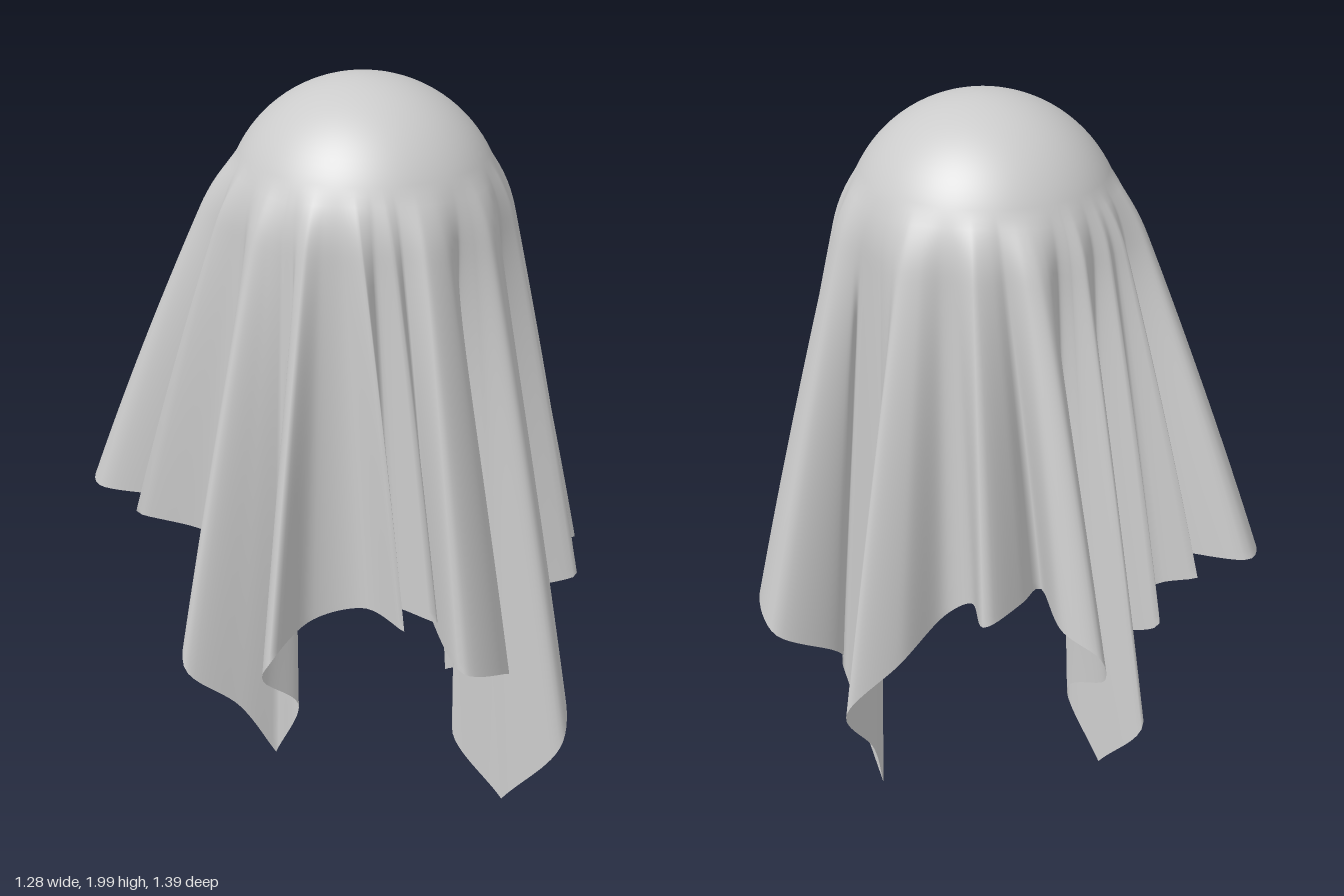
import * as THREE from 'three';

// Hem of the square cloth seen from above, [x, z] at each fold; every edge starts at a cloth corner.
// y is the corner's height, rise is how far the hem lifts between corners.
const leftEdge = {
  angle: -3, y: 0.03, rise: 0.58,
  folds: [[.40, -.02], [.31, .27], [.42, .15], [.60, .21], [.52, .36], [.36, .28],
    [.43, .43], [.28, .33], [.35, .50], [.19, .36], [.18, .55], [.05, .69]],
};
const frontEdge = {
  angle: 93, y: 0.01, rise: 0.56,
  folds: [[-.03, .54], [-.07, .39], [0, .46], [-.09, .60], [-.28, .59], [-.17, .39], [-.23, .46],
    [-.26, .32], [-.35, .45], [-.31, .27], [-.41, .17], [-.57, .17], [-.54, .11], [-.41, .12]],
};
const rightEdge = {
  angle: 173, y: 0.15, rise: 0.58,
  folds: [[-.43, .05], [-.52, 0], [-.64, -.09], [-.55, -.14], [-.38, -.15], [-.36, -.25], [-.45, -.46], [-.32, -.36],
    [-.44, -.62], [-.35, -.70], [-.20, -.46], [-.23, -.63], [-.15, -.53], [-.11, -.60], [-.06, -.43], [.02, -.68]],
};
const backEdge = {
  angle: 277, y: 0.23, rise: 0.62,
  folds: [[.07, -.56], [.10, -.46], [.15, -.66], [.20, -.69], [.25, -.60], [.17, -.42], [.26, -.45],
    [.40, -.46], [.31, -.30], [.34, -.23], [.50, -.23], [.64, -.17], [.52, -.13]],
};
const edges = [leftEdge, frontEdge, rightEdge, backEdge];

const RADIUS = 0.37, CENTRE_Y = 1.63, FOLD_Y = 1.78; // hidden ball and the height where folds begin
const DOME_ROWS = 18, DRAPE_ROWS = 46, EDGE_COLS = 130;
const { lerp, degToRad } = THREE.MathUtils;

// Hem points with the angle at which each one's thread leaves the dome
function hemColumns() {
  const columns = [];
  edges.forEach((edge, e) => {
    const next = edges[(e + 1) % 4];
    const sweep = (next.angle - edge.angle + 360) % 360;
    const points = [...edge.folds, next.folds[0]].map(([x, z], i) => {
      const t = i / edge.folds.length;
      const lift = edge.rise * (1 - Math.abs(2 * t - 1) ** 2.5);
      return new THREE.Vector3(x, lerp(edge.y, next.y, t) + lift, z);
    });
    const curve = new THREE.CatmullRomCurve3(points, false, 'centripetal');
    curve.arcLengthDivisions = 1000;
    curve.getSpacedPoints(EDGE_COLS).slice(0, -1).forEach((hem, i) => {
      const t = 0.5 + Math.atan(2 * i / EDGE_COLS - 1) * 2 / Math.PI;
      columns.push({ hem, angle: degToRad(edge.angle + sweep * t) });
    });
  });
  return columns;
}

// One point of a thread running from the crown to the hem
function threadPoint({ hem, angle }, row) {
  let y, weight = 0;
  if (row <= DOME_ROWS) {
    const polar = Math.acos((FOLD_Y - CENTRE_Y) / RADIUS) * row / DOME_ROWS;
    y = CENTRE_Y + RADIUS * Math.cos(polar);
  } else {
    const u = (row - DOME_ROWS) / DRAPE_ROWS;
    y = lerp(FOLD_Y, hem.y, u);
    weight = u * (1.12 - 0.12 * u);
  }
  const h = Math.max(y - CENTRE_Y, 0);
  const r = Math.sqrt(Math.max(RADIUS * RADIUS - h * h, 0));
  return [
    lerp(r * Math.cos(angle), hem.x, weight),
    y,
    lerp(r * Math.sin(angle) * 1.03, hem.z, weight),
  ];
}

function clothGeometry() {
  const columns = hemColumns(), n = columns.length, rows = DOME_ROWS + DRAPE_ROWS;
  const positions = [], index = [];
  for (let row = 0; row <= rows; row++) {
    for (const column of columns) positions.push(...threadPoint(column, row));
  }
  for (let row = 0; row < rows; row++) {
    for (let i = 0; i < n; i++) {
      const next = (i + 1) % n;
      const a = row * n + i, b = row * n + next, c = a + n, d = b + n;
      if (row > 0) index.push(a, b, c);
      index.push(b, d, c);
    }
  }
  const geometry = new THREE.BufferGeometry();
  geometry.setAttribute('position', new THREE.Float32BufferAttribute(positions, 3));
  geometry.setIndex(index);
  geometry.computeVertexNormals();
  for (let i = 0; i < n; i++) geometry.attributes.normal.setXYZ(i, 0, 1, 0); // crown
  return geometry;
}

export function createModel() {
  const model = new THREE.Group();
  model.name = 'drapedGhost';
  const material = new THREE.MeshStandardMaterial({ color: 0xcccccc, side: THREE.DoubleSide });
  const cloth = new THREE.Mesh(clothGeometry(), material);
  cloth.name = 'drapedCloth';
  model.add(cloth);
  return model;
}
